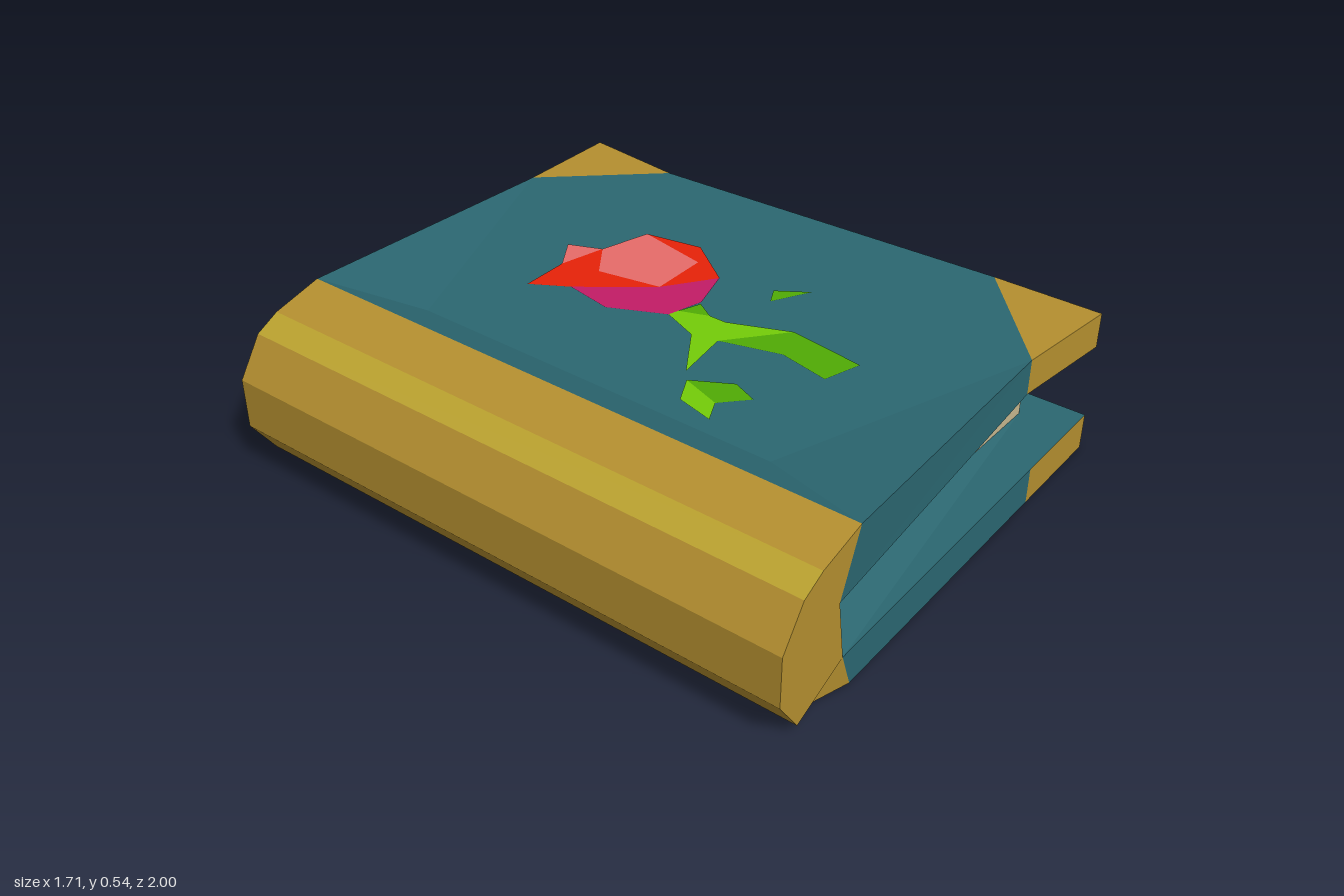
import * as THREE from 'three';

const flat = (name, color) => {
  const m = new THREE.MeshStandardMaterial({ color, side: THREE.DoubleSide });
  m.name = name;
  return m;
};

export function createModel() {
  const book = new THREE.Group();
  book.name = 'book';
  const teal = flat('teal cover', 0x2b6771);
  const gold = flat('gold trim', 0xb48f2f);
  const brightGold = flat('bright gold', 0xbaa22e);
  const cream = flat('cream paper', 0xc7b78f);
  const pink = flat('pink petal', 0xe86c6a);
  const red = flat('red petal', 0xe82208);
  const magenta = flat('magenta petal', 0xc21c66);
  const leafLight = flat('light green', 0x74cc08);
  const leafDark = flat('dark green', 0x50ab05);

  const panelY = 0.5; // height of the flat middle of the top cover

  // Flat polygons, each a fan of corners; optionally mirrored to the other end
  function panels(name, material, polygons, mirror = false) {
    const pos = [];
    for (const s of mirror ? [1, -1] : [1]) {
      for (const p of polygons) {
        for (let i = 1; i < p.length - 1; i++) {
          const tri = s > 0 ? [p[0], p[i], p[i + 1]] : [p[0], p[i + 1], p[i]];
          tri.forEach(([x, y, z]) => pos.push(x, y, z * s));
        }
      }
    }
    const g = new THREE.BufferGeometry();
    g.setAttribute('position', new THREE.Float32BufferAttribute(pos, 3));
    g.computeVertexNormals();
    const mesh = new THREE.Mesh(g, material);
    mesh.name = name;
    book.add(mesh);
  }

  // Painted outline in x and z, showing on both faces of the top cover
  function inlay(name, material, outline) {
    const shape = new THREE.Shape(outline.map(([x, z]) => new THREE.Vector2(x, -z)));
    const g = new THREE.ShapeGeometry(shape).rotateX(-Math.PI / 2);
    for (const lift of [0.003, -0.003]) {
      const mesh = new THREE.Mesh(g, material);
      mesh.name = name;
      mesh.position.y = panelY + lift;
      book.add(mesh);
    }
  }

  // Top cover: flat middle, raised towards the spine
  const front = [0.48, panelY, 0.955], back = [0.48, panelY, -1];
  const sideFront = [0.85, panelY, 0.63], sideBack = [0.805, panelY, -0.64];
  const inFront = [-0.4, panelY, 0.64], inBack = [-0.4, panelY, -0.64];
  const hingeFront = [-0.52, 0.54, 1], hingeBack = [-0.52, 0.54, -1];
  panels('topCover', teal, [
    [inFront, front, sideFront, sideBack, back, inBack],
    [hingeFront, inFront, inBack, hingeBack],
    [hingeFront, front, inFront],
    [hingeBack, inBack, back],
  ]);
  panels('cornerTrim', gold, [
    [front, [0.85, panelY, 1], sideFront],
    [back, sideBack, [0.85, panelY, -1]],
  ]);

  // Walls of the top cover
  const low = ([x, , z]) => [x, 0.38, z];
  const wall = (a, b) => [low(a), low(b), b, a];
  const tipFront = [0.85, panelY, 1], tipBack = [0.85, panelY, -1];
  panels('topCoverWalls', teal, [
    [[-0.6, 0.335, 1], low(front), front, hingeFront],
    [low(back), [-0.6, 0.335, -1], hingeBack, back],
    wall(sideFront, sideBack),
  ]);
  panels('topCornerWalls', gold, [
    wall(front, tipFront), wall(tipFront, sideFront),
    wall(sideBack, tipBack), wall(tipBack, back),
  ]);

  // Overhang below the top cover
  const pageFront = [0.73, 0.38, 0.83], pageBack = [0.73, 0.38, -0.83];
  panels('topOverhang', teal, [
    [[-0.6, 0.335, 0.83], pageFront, low(front), [-0.6, 0.335, 1]],
    [pageFront, low(sideFront), low(tipFront), low(front)],
    [pageFront, pageBack, low(sideBack), low(sideFront)],
    [pageBack, low(back), low(tipBack), low(sideBack)],
    [[-0.6, 0.335, -0.83], [-0.6, 0.335, -1], low(back), pageBack],
  ]);
  panels('hingeGusset', gold, [
    [[-0.6, 0.332, 1], [-0.6, 0.332, 0.83], [-0.25, 0.346, 0.84]],
  ], true);

  // Walls of the bottom cover
  panels('bottomCoverWalls', teal, [
    [[-0.52, 0, 1], [0.48, 0, 1], [0.48, 0.125, 1], [-0.565, 0.125, 1]],
    [[0.85, 0, 0.63], [0.85, 0, 0], [0.85, 0.125, 0], [0.85, 0.125, 0.63]],
  ], true);
  panels('bottomCornerWalls', gold, [
    [[0.48, 0, 1], [0.85, 0, 1], [0.85, 0.125, 1], [0.48, 0.125, 1]],
    [[0.85, 0, 1], [0.85, 0, 0.63], [0.85, 0.125, 0.63], [0.85, 0.125, 1]],
  ], true);

  // Ledge on the bottom cover and the hinge beside the pages
  panels('bottomLedge', teal, [
    [[-0.565, 0.125, 1], [0.85, 0.125, 1], [0.73, 0.125, 0.83], [-0.57, 0.165, 0.83]],
    [[0.73, 0.125, 0.83], [0.85, 0.125, 1], [0.85, 0.125, 0], [0.73, 0.125, 0]],
    [[-0.565, 0.125, 1], [-0.57, 0.165, 0.83], [-0.6, 0.335, 0.83], [-0.6, 0.335, 1]],
  ], true);

  // Page block
  panels('pages', cream, [
    [[-0.57, 0.165, 0.83], [0.73, 0.125, 0.83], pageFront, [-0.6, 0.335, 0.83]],
    [[0.73, 0.125, 0.83], [0.73, 0.125, 0], [0.73, 0.38, 0], pageFront],
  ], true);

  // Rounded spine swept along z, open underneath
  const spine = [[-0.52, 0.54], [-0.69, 0.5], [-0.77, 0.46], [-0.855, 0.335],
    [-0.855, 0.165], [-0.77, 0.04], [-0.65, 0]];
  const at = (i, s) => [...spine[i], s * (i === 6 ? 0.96 : 1)];
  const strip = (i) => [at(i, 1), at(i, -1), at(i + 1, -1), at(i + 1, 1)];
  panels('spine', gold, [0, 2, 3, 4, 5].map(strip));
  panels('spineHighlight', brightGold, [strip(1)]);
  panels('spineEnds', gold, [
    [[-0.6, 0.335, 1], ...spine.slice(0, 6).map((_, i) => at(i, 1)), [-0.565, 0.125, 1]],
    [[-0.565, 0.125, 1], at(5, 1), at(6, 1)],
    [[-0.565, 0.125, 1], at(6, 1), [-0.52, 0, 1]],
  ], true);

  // Rose
  inlay('petalTip', pink, [[0.07, -0.505], [0.18, -0.575], [0.225, -0.465]]);
  inlay('petalHeart', pink, [[0.105, -0.38], [0.225, -0.465], [0.395, -0.415], [0.345, -0.165], [0.145, -0.165]]);
  inlay('petalLeft', red, [[-0.095, -0.505], [0.07, -0.505], [0.225, -0.465], [0.105, -0.38], [0.145, -0.165], [-0.025, -0.385]]);
  inlay('petalRight', red, [[0.395, -0.415], [0.43, -0.22], [0.305, -0.05], [0.145, -0.165], [0.345, -0.165]]);
  inlay('petalLower', magenta, [[-0.025, -0.385], [0.145, -0.165], [0.305, -0.05], [0.15, -0.005], [0.03, -0.04], [-0.055, -0.22]]);

  // Stem and leaves
  inlay('stemUpper', leafLight, [[0.03, -0.04], [0.065, -0.03], [0.1, 0.065], [0.1, 0.125], [0.18, 0.32], [0, 0.17], [-0.19, 0.195], [-0.02, 0.085]]);
  inlay('stemShade', leafDark, [[0.065, -0.03], [0.14, 0], [0.1, 0.065]]);
  inlay('stemLower', leafDark, [[0, 0.17], [0.18, 0.32], [0.145, 0.575], [0.02, 0.535], [0.055, 0.365]]);
  inlay('leafLeftOuter', leafLight, [[-0.345, 0.395], [-0.315, 0.27], [-0.225, 0.225], [-0.27, 0.36]]);
  inlay('leafLeftInner', leafDark, [[-0.225, 0.225], [-0.155, 0.35], [-0.19, 0.435], [-0.27, 0.36]]);
  inlay('leafRight', leafDark, [[0.285, 0.16], [0.345, 0.13], [0.41, 0.23]]);

  return book;
}
